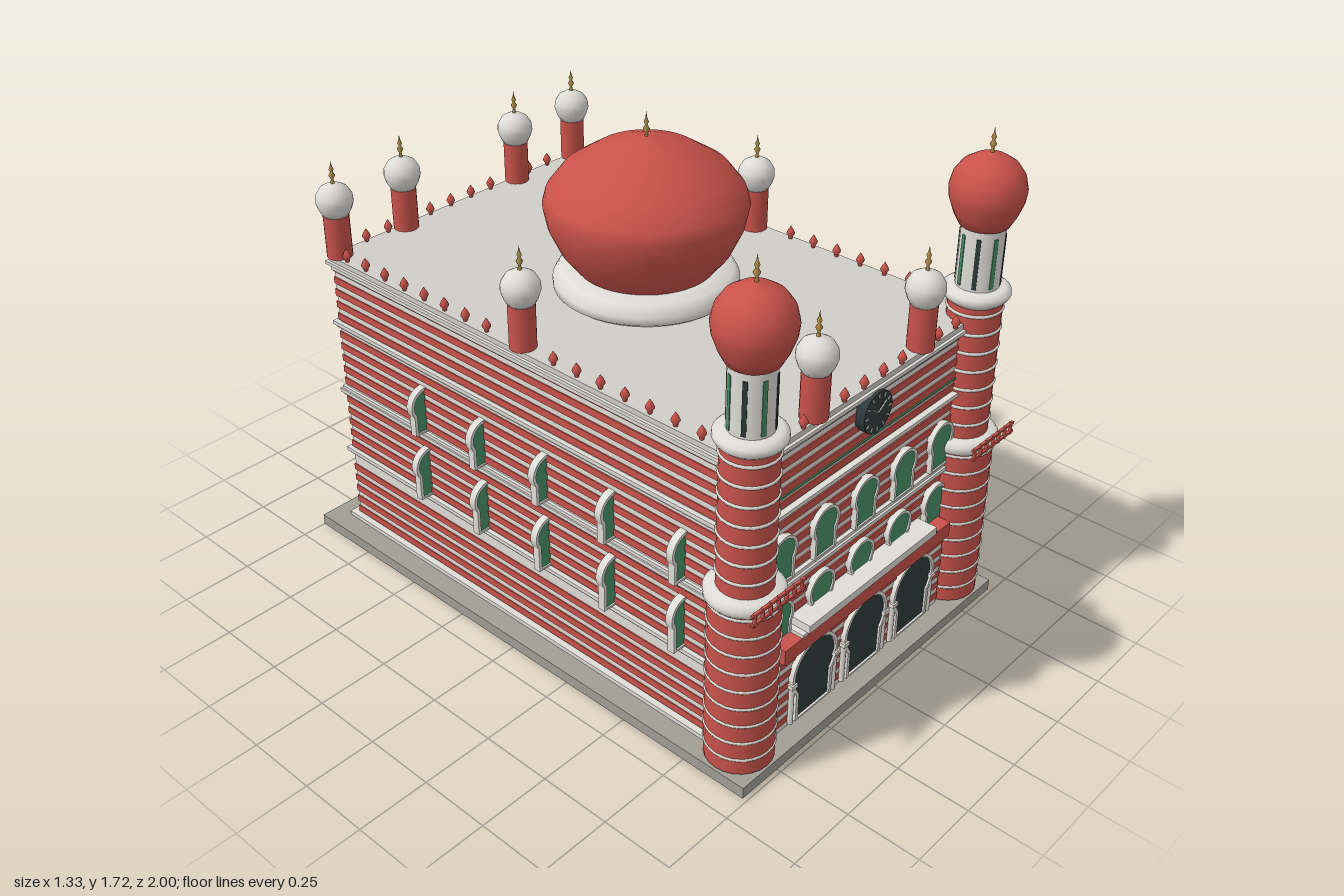
import * as THREE from 'three';

const mat = (color, side = THREE.FrontSide) => new THREE.MeshStandardMaterial({ color, side });
const RED = mat(0xc8524a), WHITE = mat(0xdedcd6), ROOF = mat(0xd0cec8), STONE = mat(0xa09e94),
  GREEN = mat(0x468f66), DARK = mat(0x2e3a3b), GOLD = mat(0xb08d4a);
const ZC = -0.01; // middle of the hall along z

function add(parent, name, geometry, material, x = 0, y = 0, z = 0) {
  const m = new THREE.Mesh(geometry, material);
  m.name = name;
  m.position.set(x, y, z);
  parent.add(m);
  return m;
}
// box given by its bottom and top heights
const slab = (p, name, material, w, y0, y1, d, x = 0, z = ZC) =>
  add(p, name, new THREE.BoxGeometry(w, y1 - y0, d), material, x, (y0 + y1) / 2, z);
const lathe = (pts, seg = 32) =>
  new THREE.LatheGeometry(pts.map(([r, y]) => new THREE.Vector2(r, y)), seg);
const cyl = (r, h, seg = 24) => new THREE.CylinderGeometry(r, r, h, seg);

// horseshoe arch outline standing on y = 0, ring centre at cy
function horseshoe(r, w, cy, y0 = 0, P = THREE.Shape) {
  const a = Math.acos(w / r), s = new P();
  s.moveTo(-w, y0);
  s.lineTo(w, y0);
  s.lineTo(w, cy - r * Math.sin(a));
  s.absarc(0, cy, r, -a, Math.PI + a, false);
  s.lineTo(-w, y0);
  return s;
}
function archOpening(name, r, w, cy, t, depth, fill) {
  const g = new THREE.Group();
  g.name = name;
  const rim = horseshoe(r + t, w + t, cy);
  rim.holes.push(horseshoe(r, w, cy, t * 0.6, THREE.Path));
  const opt = d => ({ depth: d, bevelEnabled: false, curveSegments: 20 });
  add(g, 'archFrame', new THREE.ExtrudeGeometry(rim, opt(depth)), WHITE, 0, 0, -depth / 2);
  add(g, 'archPane', new THREE.ExtrudeGeometry(horseshoe(r, w, cy), opt(depth * 0.6)), fill, 0, 0, -depth * 0.3);
  return g;
}
function place(parent, obj, x, y, z) {
  obj.position.set(x, y, z);
  parent.add(obj);
}

// gilded spike made of stacked beads
function finial(parent, x, y, z, h) {
  const p = [[0.007, 0], [0.004, 0.2], [0.011, 0.36], [0.004, 0.5], [0.008, 0.62], [0.003, 0.76], [0, 1]];
  add(parent, 'finial', lathe(p.map(([r, v]) => [r, v * h]), 12), GOLD, x, y, z);
}

function buildHall(root) {
  const hall = new THREE.Group();
  hall.name = 'hall';
  root.add(hall);
  slab(hall, 'base', STONE, 1.32, 0, 0.04, 1.985, 0, -0.0075);
  slab(hall, 'plinth', WHITE, 1.18, 0.04, 0.055, 1.84);
  slab(hall, 'wall', WHITE, 1.134, 0.04, 1.07, 1.774);
  // striped masonry, four storeys
  for (const y0 of [0.06, 0.345, 0.605, 0.86])
    for (let i = 0; i < 5; i++) {
      const y = y0 + i * 0.046;
      slab(hall, 'redCourse', RED, 1.142, y, y + 0.025, 1.782);
    }
  for (const y of [0.325, 0.57, 0.84]) {
    slab(hall, 'ledge', WHITE, 1.165, y, y + 0.014, 1.815);
    slab(hall, 'ledgeUnder', WHITE, 1.15, y - 0.01, y, 1.795);
  }
  slab(hall, 'ledgeUpper', WHITE, 1.155, 0.584, 0.596, 1.80);
  slab(hall, 'cornice', WHITE, 1.15, 1.05, 1.07, 1.79);
  slab(hall, 'corniceEdge', WHITE, 1.17, 1.07, 1.082, 1.82);
  slab(hall, 'roof', ROOF, 1.15, 1.082, 1.10, 1.80);
  slab(hall, 'greenBand', GREEN, 0.92, 0.9, 0.906, 0.006, 0, 0.882);

  // windows: front rows, and fins set across the side walls
  for (const [y, cy] of [[0.6, 0.107], [0.345, 0.125]]) {
    for (let i = -2; i <= 2; i++) {
      place(hall, archOpening('frontWindow', 0.052, 0.042, cy, 0.01, 0.026, GREEN), i * 0.2, y, 0.885);
      for (const s of [-1, 1])
        place(hall, archOpening('sideWindow', 0.052, 0.042, cy, 0.011, 0.026, GREEN), s * 0.567, y, 0.09 + i * 0.285);
    }
  }

  // small red drops along the roof edge
  const drop = lathe([[0.006, 0], [0.008, 0.01], [0.015, 0.022], [0.01, 0.034], [0, 0.05]], 10);
  for (const s of [-1, 1]) {
    for (let i = 0; i < 5; i++) {
      if (i === 2) continue;
      const x = s * (0.047 + i * 0.094);
      for (const z of [-0.9, 0.885]) add(hall, 'parapetDrop', drop, RED, x, 1.098, z);
    }
    for (let k = 0; k < 8; k++)
      for (const f of [-1, 1]) {
        if (f > 0 && k > 6) continue;
        add(hall, 'parapetDrop', drop, RED, s * 0.56, 1.098, ZC + f * (0.145 + k * 0.0965));
      }
  }
}

function buildPorch(root) {
  const porch = new THREE.Group();
  porch.name = 'porch';
  root.add(porch);
  slab(porch, 'porchWall', WHITE, 0.87, 0.04, 0.335, 0.04, 0, 0.895);
  for (let i = 0; i < 6; i++)
    slab(porch, 'porchCourse', RED, 0.872, 0.062 + i * 0.046, 0.085 + i * 0.046, 0.04, 0, 0.898);
  slab(porch, 'lintel', RED, 0.86, 0.335, 0.39, 0.06, 0, 0.911);
  slab(porch, 'canopyStep', WHITE, 0.7, 0.39, 0.402, 0.06, 0, 0.913);
  slab(porch, 'canopy', WHITE, 0.66, 0.402, 0.43, 0.075, 0, 0.915);
  for (let i = -1; i <= 1; i++) {
    place(porch, archOpening('entranceArch', 0.1, 0.078, 0.17, 0.012, 0.036, DARK), i * 0.26, 0.055, 0.915);
    for (const s of [-1, 1]) {
      const x = i * 0.26 + s * 0.106;
      add(porch, 'archColumn', cyl(0.009, 0.15, 10), WHITE, x, 0.13, 0.925);
      slab(porch, 'columnCap', WHITE, 0.026, 0.2, 0.215, 0.026, x, 0.925);
    }
  }
}

function buildClock(root) {
  const clock = new THREE.Group();
  clock.name = 'clock';
  place(root, clock, 0, 1.007, 0.89);
  add(clock, 'clockFace', cyl(0.07, 0.04, 32), DARK).rotation.x = Math.PI / 2;
  for (let i = 0; i < 12; i++) {
    const a = i * Math.PI / 6;
    add(clock, 'hourMark', new THREE.BoxGeometry(0.005, 0.014, 0.006), WHITE,
      0.057 * Math.sin(a), 0.057 * Math.cos(a), 0.02).rotation.z = -a;
  }
  for (const [a, l] of [[-0.95, 0.034], [0.95, 0.046]])
    add(clock, 'clockHand', new THREE.BoxGeometry(0.004, l, 0.005), WHITE,
      l / 2 * Math.sin(a), l / 2 * Math.cos(a), 0.021).rotation.z = -a;
}

function buildTower(root, x) {
  const t = new THREE.Group();
  t.name = 'frontTower';
  place(root, t, x, 0, 0.872);
  add(t, 'lowerShaft', cyl(0.109, 0.6), RED, 0, 0.345, 0);
  add(t, 'upperShaft', cyl(0.086, 0.52), RED, 0, 0.92, 0);
  const ring = (r, y) => { add(t, 'ring', new THREE.TorusGeometry(r, 0.006, 6, 28), WHITE, 0, y, 0).rotation.x = Math.PI / 2; };
  for (let i = 0; i < 9; i++) ring(0.107, 0.1 + i * 0.066);
  for (let i = 0; i < 7; i++) ring(0.085, 0.735 + i * 0.066);
  add(t, 'balcony', lathe([[0.1, 0.63], [0.113, 0.638], [0.122, 0.65], [0.122, 0.668], [0.11, 0.682], [0.08, 0.686]]), WHITE);
  add(t, 'collar', lathe([[0.085, 1.155], [0.1, 1.168], [0.107, 1.18], [0.105, 1.195], [0.09, 1.205], [0.06, 1.207]]), WHITE);
  // balcony railing on the front
  for (const y of [0.66, 0.692]) add(t, 'rail', new THREE.BoxGeometry(0.235, 0.008, 0.01), RED, 0, y, 0.121);
  for (let i = -3; i <= 3; i++) add(t, 'railPost', cyl(0.006, 0.045, 8), RED, i * 0.035, 0.675, 0.121);
  // lantern with slits
  add(t, 'lantern', cyl(0.069, 0.23), WHITE, 0, 1.31, 0);
  for (let i = 0; i < 8; i++) {
    const a = (i + 0.5) * Math.PI / 4;
    const slit = add(t, 'slit', new THREE.BoxGeometry(0.014, 0.17, 0.008), i % 2 ? GREEN : DARK,
      0.067 * Math.sin(a), 1.3, 0.067 * Math.cos(a));
    slit.rotation.y = a;
  }
  add(t, 'onionDome', lathe([[0, 1.412], [0.078, 1.412], [0.098, 1.45], [0.114, 1.495], [0.118, 1.53],
    [0.108, 1.572], [0.085, 1.605], [0.05, 1.628], [0, 1.645]]), RED);
  finial(t, 0, 1.638, 0, 0.085);
}

function buildTurret(root, x, z) {
  const t = new THREE.Group();
  t.name = 'roofTurret';
  place(root, t, x, 0, z);
  add(t, 'turretShaft', cyl(0.043, 0.16, 20), RED, 0, 1.178, 0);
  add(t, 'turretDome', lathe([[0, 1.248], [0.042, 1.248], [0.054, 1.27], [0.062, 1.295], [0.06, 1.318],
    [0.046, 1.342], [0.024, 1.355], [0, 1.362]], 24), WHITE);
  finial(t, 0, 1.358, 0, 0.082);
}

export function createModel() {
  const root = new THREE.Group();
  root.name = 'palace';
  buildHall(root);
  buildPorch(root);
  buildClock(root);
  for (const s of [-1, 1]) {
    buildTower(root, s * 0.545);
    for (const [x, z] of [[0.545, -0.888], [0.26, -0.888], [0.545, ZC], [0.26, 0.868]]) buildTurret(root, s * x, z);
  }
  // main dome on its drum
  add(root, 'drum', lathe([[0.28, 1.095], [0.3, 1.11], [0.3, 1.135], [0.28, 1.17], [0.22, 1.178], [0, 1.178]], 40), WHITE, 0, 0, ZC);
  add(root, 'mainDome', lathe([[0.22, 1.17], [0.275, 1.24], [0.312, 1.32], [0.326, 1.39], [0.315, 1.43], [0.265, 1.495],
    [0.165, 1.56], [0.08, 1.59], [0, 1.61]], 48), RED, 0, 0, ZC);
  finial(root, 0, 1.6, ZC, 0.09);
  return root;
}
